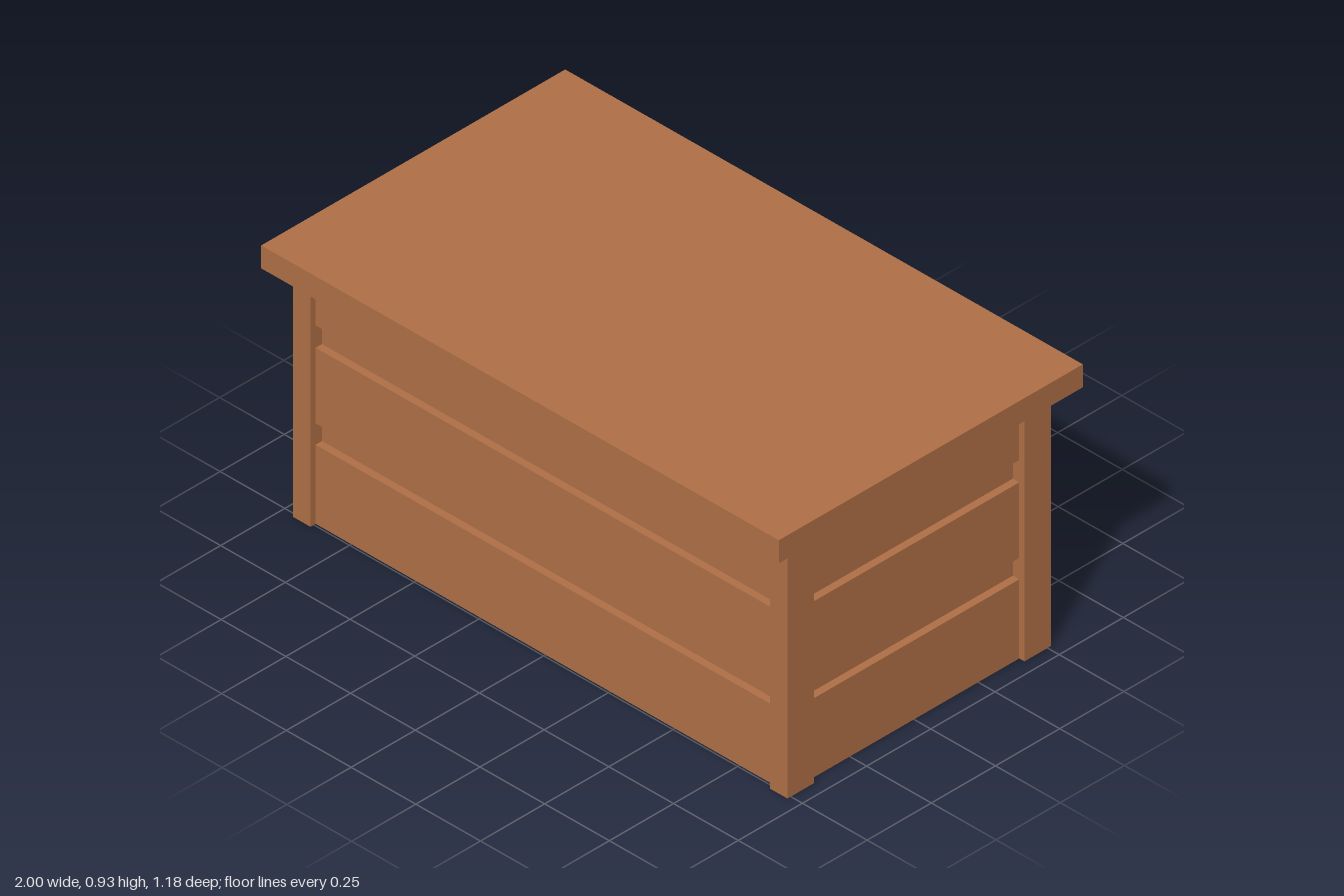
import * as THREE from 'three';

export function createModel() {
  const model = new THREE.Group();
  model.name = 'storageChest';
  const wood = new THREE.MeshStandardMaterial({ color: 0xb07046 });
  wood.name = 'warm wood';

  // Box given by its size, centre and bottom height
  function box(name, w, h, d, x, y, z) {
    const mesh = new THREE.Mesh(new THREE.BoxGeometry(w, h, d), wood);
    mesh.name = name;
    mesh.position.set(x, y + h / 2, z);
    model.add(mesh);
  }

  const halfX = 0.955, halfZ = 0.513, bodyTop = 0.85;
  const postX = 0.067, postZ = 0.103;
  const plankInset = 0.02, grooveInset = 0.045;

  // Overhanging lid
  box('lid', 2, 0.077, 1.184, 0, bodyTop, 0);

  // Corner posts
  for (const sx of [-1, 1]) {
    for (const sz of [-1, 1]) {
      box('cornerPost', postX, bodyTop, postZ, sx * (halfX - postX / 2), 0, sz * (halfZ - postZ / 2));
    }
  }

  // Plank courses with narrower recessed bands between them
  const courses = [
    ['lowerPlanks', 0, 0.265, plankInset],
    ['lowerGroove', 0.265, 0.337, grooveInset],
    ['middlePlanks', 0.337, 0.59, plankInset],
    ['upperGroove', 0.59, 0.665, grooveInset],
    ['upperPlanks', 0.665, bodyTop, plankInset],
  ];
  for (const [name, y0, y1, inset] of courses) {
    box(name, 2 * (halfX - inset), y1 - y0, 2 * (halfZ - inset), 0, y0, 0);
  }

  return model;
}
